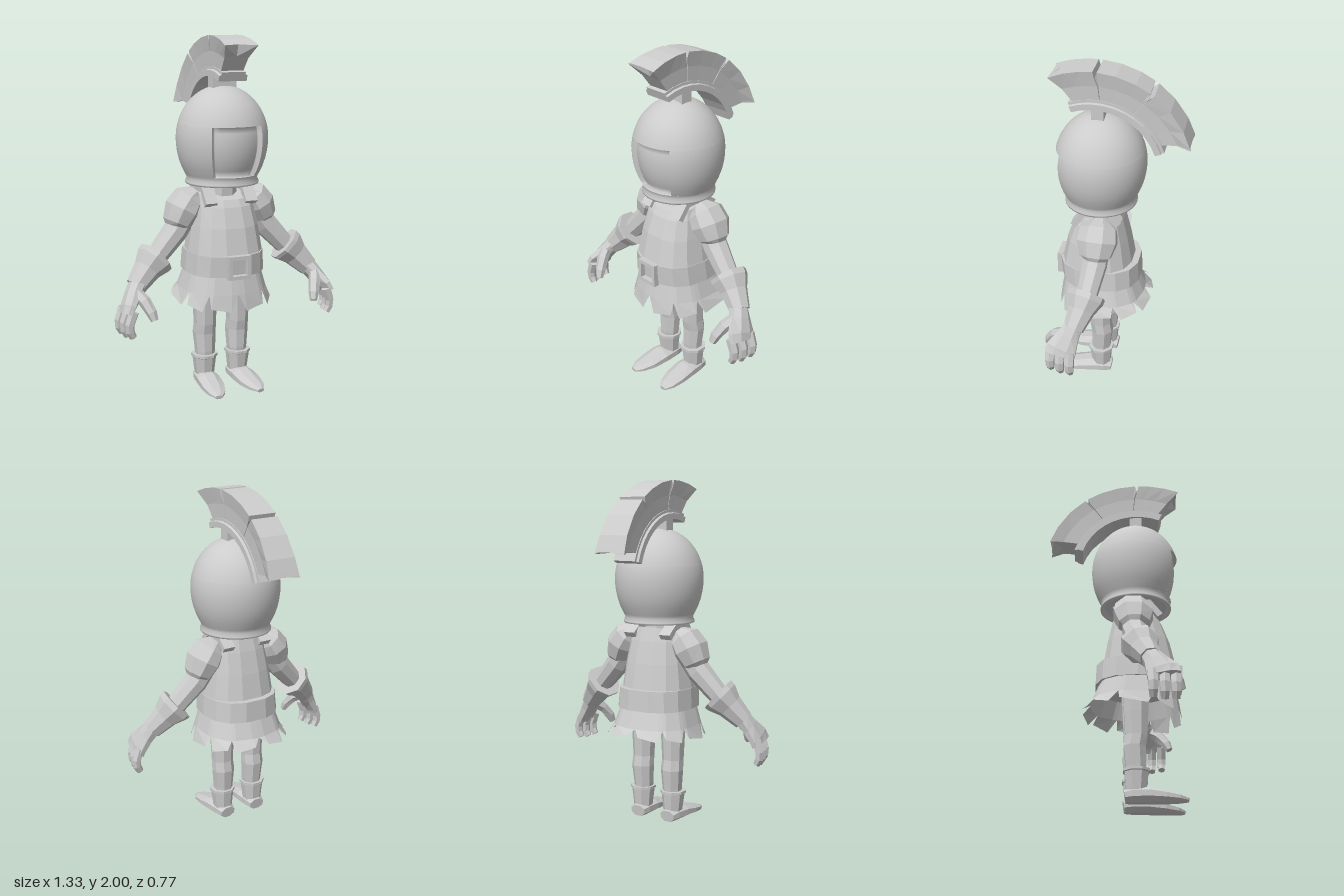
import * as THREE from 'three';

const flat = new THREE.MeshStandardMaterial({ color: 0xcccccc, flatShading: true, side: THREE.DoubleSide });
const smooth = new THREE.MeshStandardMaterial({ color: 0xcccccc, side: THREE.DoubleSide });
const V = (x, y, z) => new THREE.Vector3(x, y, z);
const lerp = THREE.MathUtils.lerp;

function add(parent, name, geometry, material = flat) {
  const mesh = new THREE.Mesh(geometry, material);
  mesh.name = name;
  parent.add(mesh);
  return mesh;
}

// Skin through a list of equal-length rings, optionally closed around and capped
function loft(rings, { closed = true, caps = true } = {}) {
  const n = rings[0].length, pos = [], idx = [];
  rings.forEach(r => r.forEach(p => pos.push(p.x, p.y, p.z)));
  for (let i = 0; i < rings.length - 1; i++) {
    for (let j = 0; j < (closed ? n : n - 1); j++) {
      const k = (j + 1) % n, a = i * n + j, b = i * n + k;
      idx.push(a, b, a + n, b, b + n, a + n);
    }
  }
  if (caps) {
    for (const i of [0, rings.length - 1]) {
      const c = rings[i].reduce((s, p) => s.add(p), V(0, 0, 0)).divideScalar(n);
      const ci = pos.length / 3;
      pos.push(c.x, c.y, c.z);
      for (let j = 0; j < n; j++) {
        const a = i * n + j, b = i * n + (j + 1) % n;
        if (i) idx.push(ci, a, b); else idx.push(ci, b, a);
      }
    }
  }
  const g = new THREE.BufferGeometry();
  g.setAttribute('position', new THREE.Float32BufferAttribute(pos, 3));
  g.setIndex(idx);
  g.computeVertexNormals();
  return g;
}

// Faceted limb: path of [x, y, z, radius along hint, radius across]
function limb(path, sides = 8, hint = V(0, 0, 1)) {
  const c = path.map(p => V(p[0], p[1], p[2])), k = 1 / Math.cos(Math.PI / sides);
  return loft(path.map((p, i) => {
    const t = c[Math.min(i + 1, c.length - 1)].clone().sub(c[Math.max(i - 1, 0)]).normalize();
    const u = hint.clone().addScaledVector(t, -hint.dot(t)).normalize();
    const v = t.clone().cross(u);
    return Array.from({ length: sides }, (_, j) => {
      const a = (j + 0.5) / sides * Math.PI * 2;
      const q = c[i].clone().addScaledVector(u, Math.cos(a) * p[3] * k).addScaledVector(v, Math.sin(a) * (p[4] ?? p[3]) * k);
      q.y = Math.max(0, q.y);
      return q;
    });
  }));
}

// Point on a rounded-box body outline; angle 0 faces front
function bodyPoint(a, y, hw, zf, zb) {
  const e = v => Math.sign(v) * Math.abs(v) ** 0.8;
  return V(hw * e(Math.sin(a)), y, (zf + zb) / 2 + (zf - zb) / 2 * e(Math.cos(a)));
}
function bodyRing(y, hw, zf, zb, yBack = y, n = 14) {
  return Array.from({ length: n }, (_, j) => {
    const a = (j + 0.5) / n * Math.PI * 2;
    return bodyPoint(a, lerp(y, yBack, (1 - Math.cos(a)) / 2), hw, zf, zb);
  });
}

function helmet(parent) {
  const g = new THREE.Group();
  g.name = 'helmet';
  g.position.z = 0.108;
  parent.add(g);
  const radius = y => 0.258 * Math.sqrt(Math.max(0, 1 - ((y - 1.435) / (y > 1.435 ? 0.29 : 0.335)) ** 2));
  const arc = (y0, y1, n) => Array.from({ length: n + 1 }, (_, i) => {
    const y = lerp(y0, y1, Math.sin(i / n * Math.PI / 2));
    return new THREE.Vector2(radius(y), y);
  });
  const open = 0.62, low = 1.235, high = 1.515;
  const rim = [[0.06, 1.225], [0.18, 1.22], [0.188, 1.185], [0.206, 1.183], [0.207, 1.193], [0.197, 1.215]]
    .map(p => new THREE.Vector2(...p));
  const middle = arc(low, high, 10), dome = arc(high, 1.725, 14);
  add(g, 'helmetRim', new THREE.LatheGeometry([...rim, middle[0]], 40), smooth);
  add(g, 'helmetSides', new THREE.LatheGeometry(middle, 40, open, Math.PI * 2 - 2 * open), smooth);
  add(g, 'helmetDome', new THREE.LatheGeometry(dome, 40), smooth);
  // Recessed face with walls reaching the opening's edge
  const cols = [-open, -open + 0.01, ...Array.from({ length: 11 }, (_, i) => lerp(-0.58, 0.58, i / 10)), open - 0.01, open];
  const rows = [low, low + 0.003, ...[1, 2, 3, 4, 5, 6, 7].map(i => lerp(low, high, i / 8)), high - 0.003, high];
  add(g, 'face', loft(rows.map((y, i) => cols.map((a, j) => {
    const edge = !i || !j || i === rows.length - 1 || j === cols.length - 1;
    const r = radius(y) - (edge ? 0 : 0.028);
    return V(r * Math.sin(a), y, r * Math.cos(a));
  })), { closed: false, caps: false }), smooth);
}

function crest(parent) {
  const at = (x, r, a) => V(x, 1.43 + r * Math.cos(a), 0.125 - r * Math.sin(a));
  // Curved rail
  const rail = [[0.07, 0.4], [0.07, 0.385], [0.083, 0.38], [0.083, 0.347]];
  const section = [...rail, ...rail.map(([x, r]) => [-x, r]).reverse()];
  add(parent, 'crestRail', loft(Array.from({ length: 11 }, (_, i) =>
    section.map(([x, r]) => at(x, r, lerp(-0.37, 1.26, i / 10))))));
  const mount = add(parent, 'crestMount', new THREE.BoxGeometry(0.14, 0.08, 0.07));
  mount.position.set(0, 1.74, 0.11);
  // Flaring plume in three tufts, split at both tips
  const cuts = [0, 0.26, 0.6, 1];
  for (let k = 0; k < 3; k++) {
    add(parent, 'plume', loft([0, 0.03, 0.35, 0.7, 0.97, 1].map((f, i) => {
      const s = lerp(cuts[k] + (k ? 0.006 : 0), cuts[k + 1], f);
      const tip = (k === 0 && i === 0) ? 0.08 : (k === 2 && i === 5) ? -0.08 : 0;
      const aIn = lerp(-0.3, 1.13, s), aOut = lerp(-0.44, 1.27, s), aMid = (aIn + aOut) / 2;
      const inner = (k && i === 0) || (k < 2 && i === 5);
      const r = lerp(0.572, 0.548, s) - (inner ? 0.03 : 0);
      const w = 0.083 + 0.014 * Math.abs(2 * s - 1) ** 3;
      return [at(w, r, aOut), at(0.07, 0.48, aMid), at(0.065, 0.385, aIn),
        at(-0.065, 0.385, aIn), at(-0.07, 0.48, aMid), at(-w, r, aOut), at(0, r, aOut + tip)];
    })));
  }
}

function body(parent) {
  add(parent, 'neck', limb([[0, 1.08, 0.1, 0.08], [0, 1.23, 0.11, 0.075]]));
  add(parent, 'breastplate', loft([
    bodyRing(0.69, 0.2, 0.32, -0.08), bodyRing(0.8, 0.212, 0.333, -0.085), bodyRing(0.95, 0.19, 0.3, -0.06),
    bodyRing(1.06, 0.17, 0.26, -0.03, 1.08), bodyRing(1.1, 0.155, 0.235, -0.005, 1.16)]));
  for (const s of [-1, 1]) {
    add(parent, 'shoulderStrap', limb([[s * 0.12, 1.08, 0.24, 0.035, 0.018], [s * 0.12, 1.16, 0.18, 0.035, 0.018],
      [s * 0.12, 1.165, 0.05, 0.035, 0.018], [s * 0.12, 1.11, -0.02, 0.035, 0.018]], 4, V(1, 0, 0)));
  }
  add(parent, 'belt', loft([
    bodyRing(0.69, 0.19, 0.31, -0.08), bodyRing(0.685, 0.225, 0.338, -0.128),
    bodyRing(0.805, 0.215, 0.347, -0.122), bodyRing(0.805, 0.195, 0.32, -0.08)]));
  const square = h => [[-h, -h], [h, -h], [h, h], [-h, h]].map(p => new THREE.Vector2(...p));
  const frame = new THREE.Shape(square(0.066));
  frame.holes.push(new THREE.Path(square(0.045)));
  const buckle = add(parent, 'buckle', new THREE.ExtrudeGeometry(frame, { depth: 0.035, bevelEnabled: false }));
  buckle.position.set(0, 0.742, 0.33);
  // Skirt: ten ragged flaps parted by V notches
  const top = [], mid = [], hem = [], flaps = 10;
  for (let i = 0; i < flaps; i++) {
    [0, 0.17, 0.83].forEach((f, c) => {
      const a = (i + f) / flaps * Math.PI * 2;
      const outer = (i < flaps / 2) === (c === 2);
      const y = 0.51 - 0.02 * Math.cos(a) + (outer ? 0.02 : 0);
      const m = bodyPoint(a, 0.585, 0.243, 0.345, -0.15);
      top.push(bodyPoint(a, 0.71, 0.205, 0.32, -0.1));
      mid.push(m);
      hem.push(c ? bodyPoint(a, y, 0.275, 0.358, -0.195) : m.clone());
    });
  }
  add(parent, 'skirt', loft([hem, mid, top], { caps: false }));
}

function arm(parent) {
  const g = new THREE.Group();
  g.name = 'arm';
  parent.add(g);
  add(g, 'shoulder', limb([[0.15, 1.13, 0.085, 0.05, 0.04], [0.19, 1.1, 0.085, 0.1, 0.08],
    [0.23, 1.04, 0.085, 0.11, 0.092], [0.265, 0.965, 0.088, 0.085, 0.074], [0.272, 0.945, 0.09, 0.06, 0.055]]));
  add(g, 'upperArm', limb([[0.22, 1.0, 0.085, 0.065], [0.28, 0.915, 0.09, 0.066], [0.4, 0.785, 0.11, 0.055], [0.47, 0.72, 0.13, 0.05]]));
  // Flared cuff, hollow at the mouth
  add(g, 'cuff', limb([[0.45, 0.735, 0.125, 0.06], [0.4, 0.785, 0.112, 0.085], [0.395, 0.79, 0.11, 0.1],
    [0.415, 0.772, 0.115, 0.098], [0.46, 0.725, 0.13, 0.072], [0.535, 0.645, 0.16, 0.054]].slice(2), 8));
  add(g, 'palm', limb([[0.52, 0.665, 0.158, 0.05, 0.048], [0.56, 0.61, 0.185, 0.062, 0.042],
    [0.6, 0.55, 0.215, 0.085, 0.034], [0.615, 0.515, 0.222, 0.085, 0.028]], 8, V(0.1, 0, 1)));
  for (let i = 0; i < 3; i++) {
    const z = 0.165 + i * 0.058, x = -0.012 * i, y = i === 1 ? -0.006 : 0;
    add(g, 'finger', limb([[0.612 + x, 0.54, z, 0.026, 0.025], [0.637 + x, 0.47, z, 0.025, 0.023],
      [0.635 + x, 0.43 + y, z, 0.023, 0.021], [0.618 + x, 0.398 + y, z, 0.018, 0.018]], 6));
  }
  add(g, 'thumb', limb([[0.555, 0.63, 0.2, 0.03], [0.52, 0.585, 0.265, 0.03], [0.495, 0.53, 0.305, 0.026],
    [0.485, 0.49, 0.322, 0.018]], 6, V(1, 0, 0)));
}

function leg(parent) {
  const g = new THREE.Group();
  g.name = 'leg';
  parent.add(g);
  add(g, 'leg', limb([[0.102, 0.1, 0.097, 0.045, 0.045], [0.1, 0.2, 0.097, 0.054, 0.054], [0.102, 0.31, 0.09, 0.06, 0.062],
    [0.102, 0.37, 0.1, 0.06, 0.059], [0.102, 0.5, 0.1, 0.066, 0.065], [0.1, 0.7, 0.1, 0.075, 0.07]]));
  add(g, 'bootCuff', limb([[0.104, 0.06, 0.097, 0.053, 0.052], [0.105, 0.165, 0.099, 0.064, 0.064],
    [0.105, 0.168, 0.099, 0.071, 0.071], [0.105, 0.183, 0.099, 0.071, 0.071]]));
  add(g, 'foot', limb([[0.103, 0.035, 0.035, 0.045, 0.033], [0.104, 0.041, 0.08, 0.058, 0.041], [0.108, 0.04, 0.17, 0.066, 0.04],
    [0.115, 0.029, 0.26, 0.064, 0.029], [0.124, 0.02, 0.33, 0.048, 0.02], [0.13, 0.013, 0.372, 0.02, 0.011]], 8, V(1, 0, 0)));
}

export function createModel() {
  const model = new THREE.Group();
  model.name = 'crestedSoldier';
  helmet(model);
  crest(model);
  body(model);
  for (const s of [1, -1]) {
    const half = new THREE.Group();
    half.name = s > 0 ? 'leftLimbs' : 'rightLimbs';
    half.scale.x = s;
    arm(half);
    leg(half);
    model.add(half);
  }
  return model;
}
